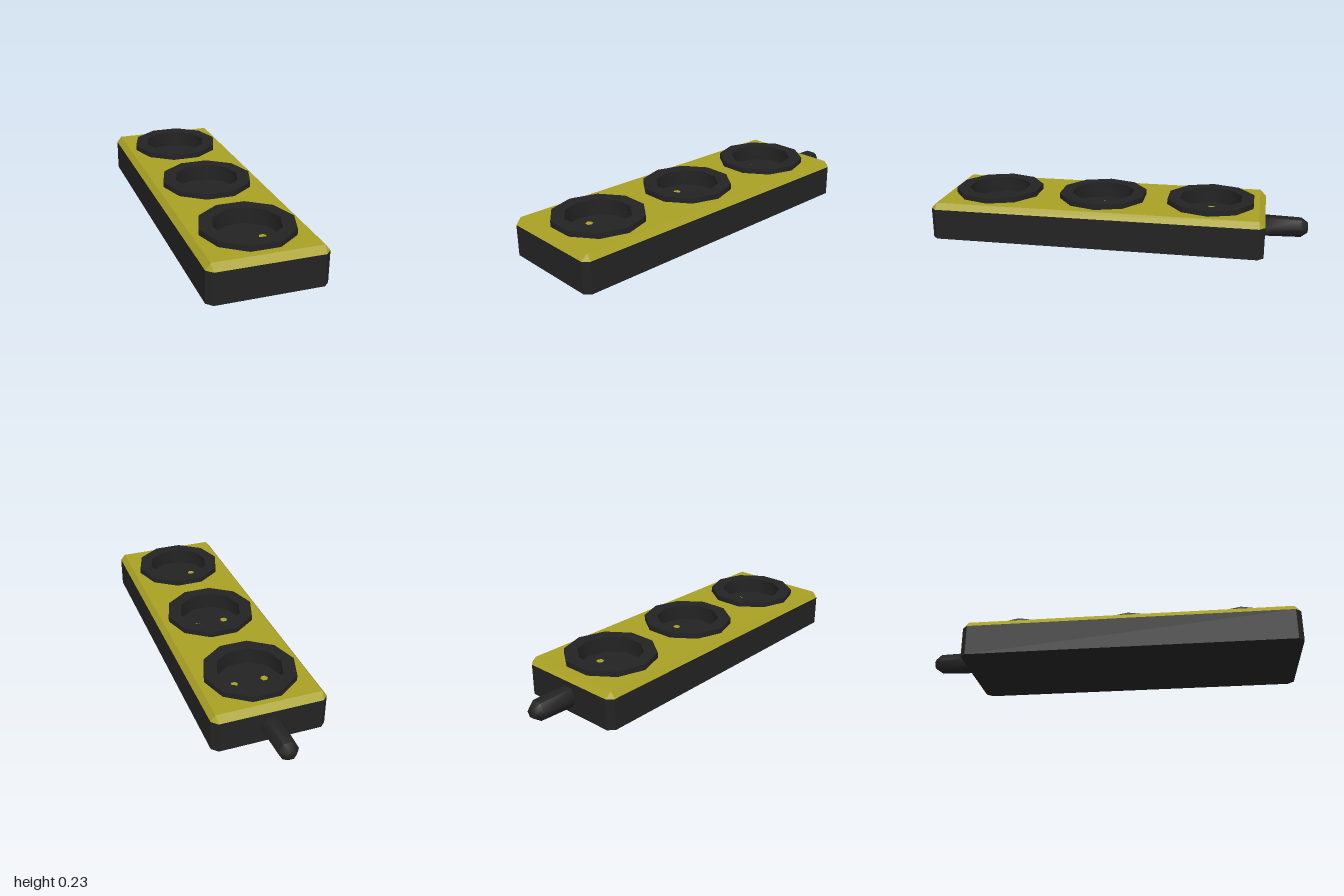
import * as THREE from 'three';
import { toCreasedNormals } from 'three/addons/utils/BufferGeometryUtils.js';

const black = new THREE.MeshStandardMaterial({ color: 0x232323 });
const yellow = new THREE.MeshStandardMaterial({ color: 0xa8a024 });

const HALF_W = 0.298, FRONT = 1.0, BACK = -0.775; // body footprint
const CUT = 0.03;                                 // corner cut and bevel
const WALL_TOP = 0.165, LID_TOP = 0.197;
const SOCKET_Z = [-0.483, 0.108, 0.7];

// Eight-point outline of a rectangle with cut corners, counterclockwise from above
function outline(w, front, back, cut, y) {
  return [
    [-w + cut, front], [w - cut, front], [w, front - cut], [w, back + cut],
    [w - cut, back], [-w + cut, back], [-w, back + cut], [-w, front - cut],
  ].map(([x, z]) => new THREE.Vector3(x, y, z));
}

// Flat-faced skin between successive outlines; collapsed triangles are skipped
function skin(loops) {
  const points = [];
  const add = (a, b, c) => {
    if (!a.equals(b) && !b.equals(c) && !c.equals(a)) points.push(a, b, c);
  };
  for (let k = 0; k + 1 < loops.length; k++) {
    const lo = loops[k], hi = loops[k + 1];
    lo.forEach((a, i) => {
      const j = (i + 1) % lo.length;
      add(a, lo[j], hi[j]);
      add(a, hi[j], hi[i]);
    });
  }
  const geometry = new THREE.BufferGeometry().setFromPoints(points);
  geometry.computeVertexNormals();
  return geometry;
}

// Turned part with smooth sides and sharp rims
function turned(profile, sides, crease) {
  const points = profile.map(([r, y]) => new THREE.Vector2(r, y));
  return toCreasedNormals(new THREE.LatheGeometry(points, sides, Math.PI / 2), crease);
}

function part(name, geometry, material, parent) {
  const mesh = new THREE.Mesh(geometry, material);
  mesh.name = name;
  parent.add(mesh);
  return mesh;
}

export function createModel() {
  const model = new THREE.Group();
  model.name = 'powerStrip';

  // Lower case: floor and walls
  const base = outline(HALF_W, FRONT, BACK, CUT, 0);
  const rim = outline(HALF_W, FRONT, BACK, CUT, WALL_TOP);
  const floorCentre = base.map(() => new THREE.Vector3(0, 0, 0.11));
  part('case', skin([floorCentre, base, rim]), black, model);

  // Lid: bevel running up to a sharp-cornered top
  const w = 0.273, front = 0.968, back = -0.743;
  part('lidBevel', skin([rim, outline(w, front, back, 0, LID_TOP)]), yellow, model);

  // Lid top with an opening below each socket ring
  const top = new THREE.Shape([
    new THREE.Vector2(-w, -front), new THREE.Vector2(w, -front),
    new THREE.Vector2(w, -back), new THREE.Vector2(-w, -back),
  ]);
  for (const z of SOCKET_Z) {
    top.holes.push(new THREE.Path().absarc(0, -z, 0.2, 0, Math.PI * 2, true));
  }
  const lid = part('lidTop', new THREE.ShapeGeometry(top).rotateX(-Math.PI / 2), yellow, model);
  lid.position.y = LID_TOP;

  // Sockets: raised ten-sided ring with a recessed well and two contacts
  const socketGeometry = turned(
    [[0.24, 0.19], [0.24, 0.226], [0.17, 0.226], [0.17, 0.14], [0, 0.14]], 10, 0.7);
  const contactGeometry = new THREE.CylinderGeometry(0.02, 0.02, 0.006, 6, 1, false, Math.PI / 2);
  for (const z of SOCKET_Z) {
    const socket = new THREE.Group();
    socket.name = 'socket';
    socket.position.z = z;
    part('socketWell', socketGeometry, black, socket);
    for (const side of [-1, 1]) {
      part('contact', contactGeometry, yellow, socket).position.set(side * 0.081, 0.139, 0);
    }
    model.add(socket);
  }

  // Cable sleeve at the back
  const sleeve = turned([[0.058, 0], [0.053, 0.19], [0.027, 0.225], [0, 0.225]], 6, 1.1);
  part('cableSleeve', sleeve.rotateX(-Math.PI / 2), black, model).position.set(0, 0.085, BACK);

  return model;
}
